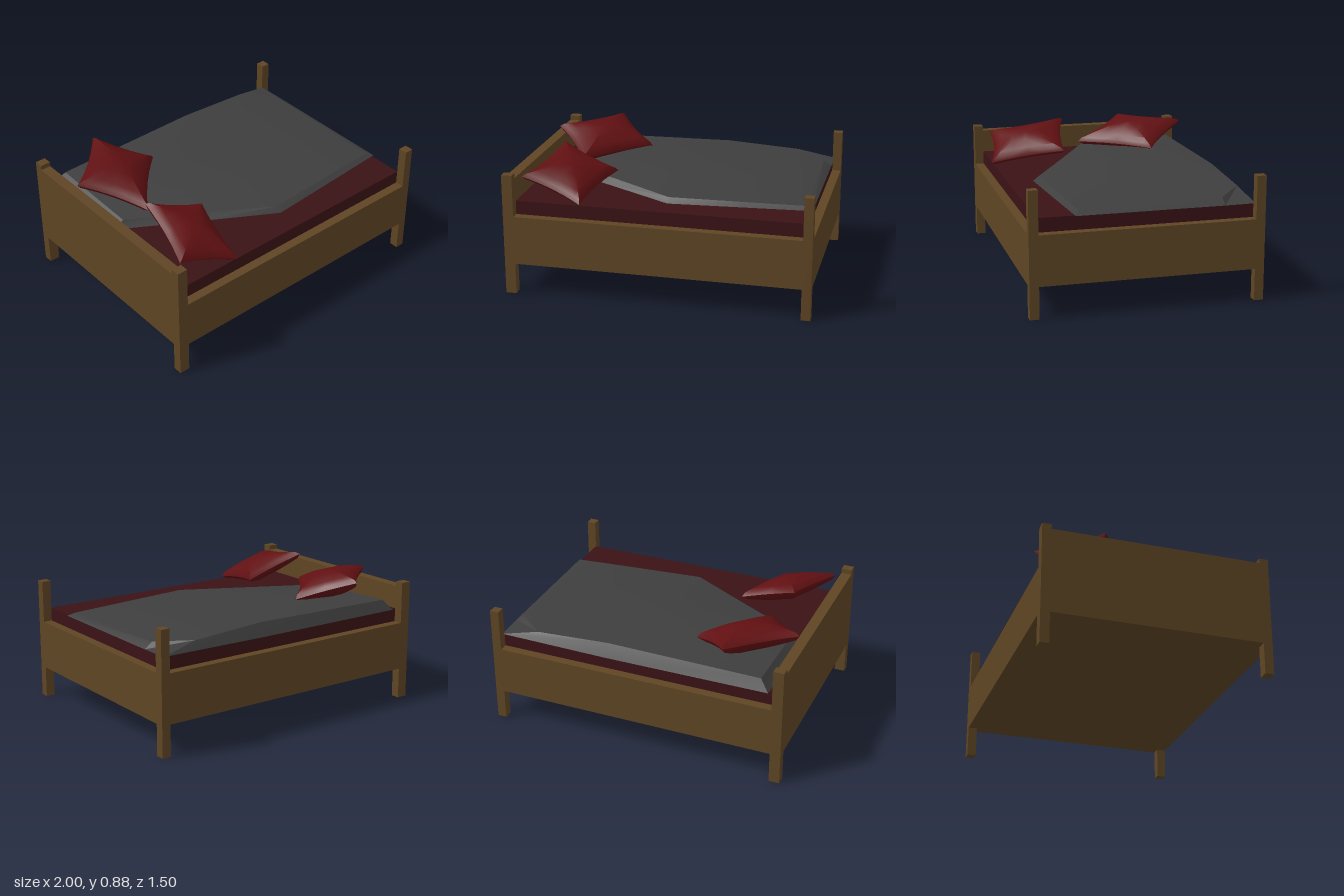
import * as THREE from 'three';
import { mergeVertices, toCreasedNormals } from 'three/addons/utils/BufferGeometryUtils.js';

const wood = new THREE.MeshStandardMaterial({ color: 0x5f4524 });
const sheet = new THREE.MeshStandardMaterial({ color: 0x3a1215 });
const cloth = new THREE.MeshStandardMaterial({ color: 0x3e3e3e, side: THREE.DoubleSide });
const red = new THREE.MeshStandardMaterial({ color: 0x611012 });

// Box given by its extents on each axis
function box(name, material, [x0, x1], [y0, y1], [z0, z1]) {
  const mesh = new THREE.Mesh(new THREE.BoxGeometry(x1 - x0, y1 - y0, z1 - z0), material);
  mesh.position.set((x0 + x1) / 2, (y0 + y1) / 2, (z0 + z1) / 2);
  mesh.name = name;
  return mesh;
}

function creased(positions, angle) {
  const g = new THREE.BufferGeometry();
  g.setAttribute('position', new THREE.Float32BufferAttribute(positions, 3));
  return toCreasedNormals(mergeVertices(g, 1e-5), angle);
}

// Blanket: an outline ring, a rim ring and an inner ring, closed by a fan
function blanket() {
  const outer = [
    [-0.89, 0.62, -0.03], [-0.45, 0.62, 0.235], [0.03, 0.62, 0.52], [0.5, 0.62, 0.485], [0.955, 0.62, 0.45],
    [0.955, 0.62, -0.5], [0.95, 0.62, -0.7], [0.2, 0.62, -0.715], [-0.89, 0.62, -0.71],
  ];
  const rim = [
    [-0.83, 0.668, -0.03], [-0.42, 0.66, 0.21], [0.03, 0.65, 0.48], [0.48, 0.645, 0.45], [0.9, 0.64, 0.42],
    [0.9, 0.66, -0.5], [0.7, 0.675, -0.67], [0.2, 0.705, -0.67], [-0.83, 0.69, -0.67],
  ];
  const inner = [
    [-0.45, 0.7, -0.06], [-0.25, 0.697, 0.03], [0.03, 0.69, 0.14], [0.28, 0.685, 0.12], [0.5, 0.68, 0.08],
    [0.5, 0.688, -0.35], [0.42, 0.693, -0.45], [0.1, 0.709, -0.47], [-0.45, 0.712, -0.47],
  ];
  const p = [];
  const rings = [outer, rim, inner, outer.map(() => [-0.1, 0.714, -0.2])];
  for (let r = 0; r < 3; r++) {
    for (let i = 0; i < outer.length; i++) {
      const j = (i + 1) % outer.length;
      const [a, b, c, d] = [rings[r][i], rings[r][j], rings[r + 1][j], rings[r + 1][i]];
      p.push(...a, ...b, ...c);
      if (r < 2) p.push(...a, ...c, ...d);
    }
  }
  const mesh = new THREE.Mesh(creased(p, 0.4), cloth);
  mesh.name = 'blanket';
  return mesh;
}

// Pillow: two bulging grids stretched between four corners, given in order around the edge
function pillow(name, corners, thickness) {
  const [a, b, c, d] = corners.map((q) => new THREE.Vector3(...q));
  const normal = c.clone().sub(a).cross(d.clone().sub(b)).normalize();
  if (normal.y < 0) normal.negate();
  const steps = [-1, -0.93, -0.75, -0.4, 0, 0.4, 0.75, 0.93, 1];
  const bulge = { 1: 0, 0.93: 0.3, 0.75: 0.55, 0.4: 0.93, 0: 1 };

  const point = (u, v, side) => {
    // Edges bow inwards between the corners
    const s = u * (1 - 0.09 * (1 - v * v));
    const t = v * (1 - 0.09 * (1 - u * u));
    const ab = a.clone().lerp(b, (s + 1) / 2);
    const dc = d.clone().lerp(c, (s + 1) / 2);
    const h = bulge[Math.max(Math.abs(u), Math.abs(v))] * thickness * side;
    return ab.lerp(dc, (t + 1) / 2).addScaledVector(normal, h).toArray();
  };

  const p = [];
  for (const side of [1, -1]) {
    const tri = (q, r, s) => (side > 0 ? p.push(...q, ...s, ...r) : p.push(...q, ...r, ...s));
    for (let i = 0; i < 8; i++) {
      for (let j = 0; j < 8; j++) {
        const q00 = point(steps[i], steps[j], side);
        const q10 = point(steps[i + 1], steps[j], side);
        const q11 = point(steps[i + 1], steps[j + 1], side);
        const q01 = point(steps[i], steps[j + 1], side);
        // Quads split along the lines that run to the corners
        if ((i < 4) === (j < 4)) {
          tri(q00, q10, q11);
          tri(q00, q11, q01);
        } else {
          tri(q00, q10, q01);
          tri(q10, q11, q01);
        }
      }
    }
  }
  const mesh = new THREE.Mesh(creased(p, 0.6), red);
  mesh.name = name;
  return mesh;
}

export function createModel() {
  const bed = new THREE.Group();
  bed.name = 'bed';
  const head = [-1, -0.93];
  const foot = [0.94, 1];
  const between = [-0.93, 0.94];
  const width = [-0.69, 0.69];

  // Posts and side rails, mirrored front to back
  for (const [side, z] of [['left', [0.69, 0.75]], ['right', [-0.75, -0.69]]]) {
    bed.add(box(side + 'HeadPost', wood, head, [0, 0.807], z));
    bed.add(box(side + 'FootPost', wood, foot, [0, 0.807], z));
    bed.add(box(side + 'Rail', wood, between, [0.207, 0.53], z));
  }

  // End boards and closed base
  bed.add(box('headboard', wood, head, [0.207, 0.775], width));
  bed.add(box('footboard', wood, foot, [0.207, 0.53], width));
  bed.add(box('base', wood, between, [0.207, 0.4], width));

  // Bedding
  bed.add(box('mattress', sheet, between, [0.4, 0.62], width));
  bed.add(blanket());
  bed.add(pillow('backPillow', [
    [-0.96, 0.83, -0.33], [-0.58, 0.845, -0.69], [-0.3, 0.715, -0.4], [-0.68, 0.71, 0.04],
  ], 0.085));
  bed.add(pillow('frontPillow', [
    [-0.77, 0.865, 0.135], [-0.38, 0.715, 0.21], [-0.5, 0.63, 0.705], [-0.9, 0.77, 0.645],
  ], 0.075));
  return bed;
}
